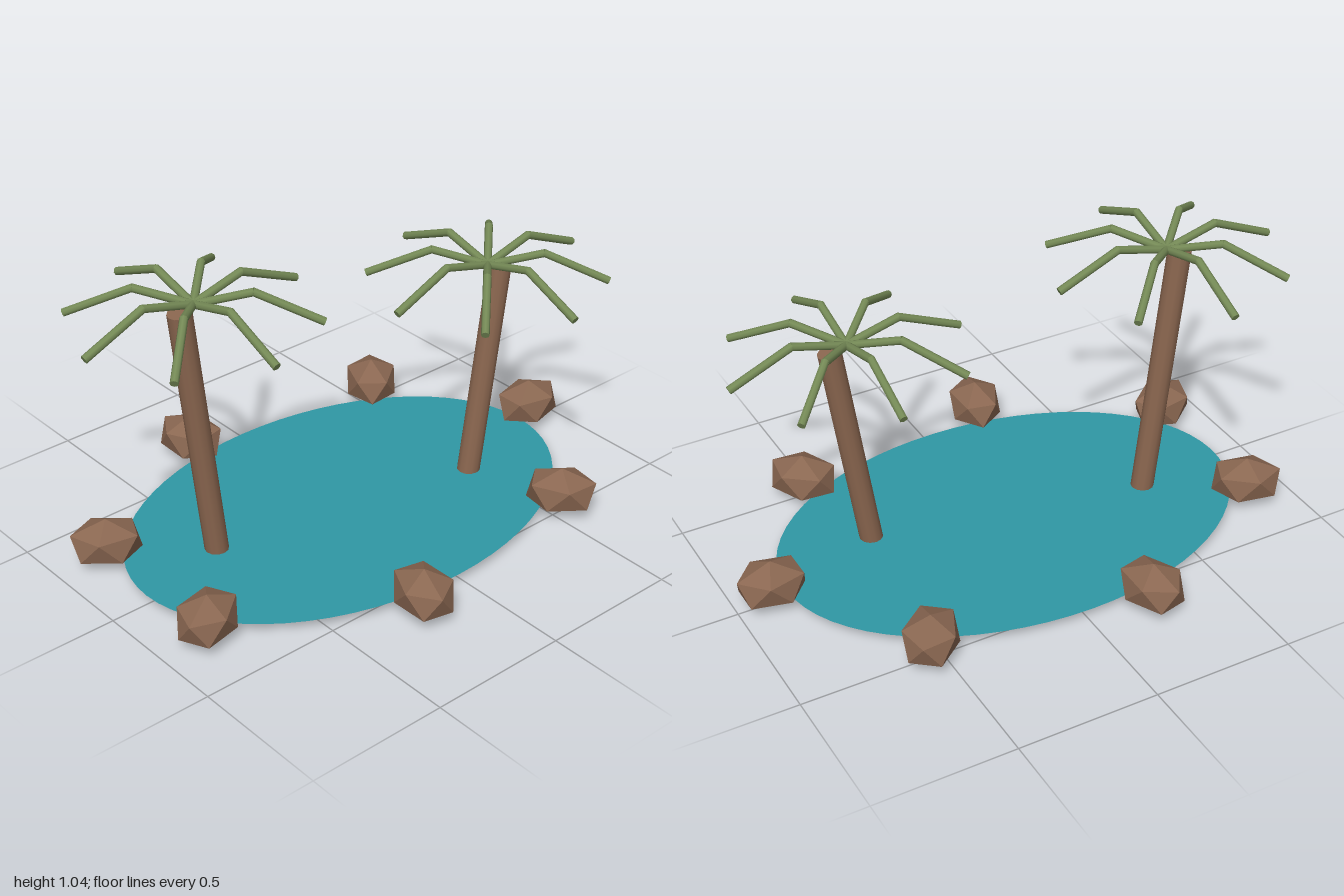
import * as THREE from 'three';

const mat = (name, color, extra = {}) => {
  const m = new THREE.MeshStandardMaterial({ color, ...extra });
  m.name = name;
  return m;
};

// Capped rod between two points
function rod(name, a, b, radius, sides, material) {
  const dir = new THREE.Vector3().subVectors(b, a);
  const mesh = new THREE.Mesh(
    new THREE.CylinderGeometry(radius, radius, dir.length(), sides), material);
  mesh.position.addVectors(a, b).multiplyScalar(0.5);
  mesh.quaternion.setFromUnitVectors(new THREE.Vector3(0, 1, 0), dir.normalize());
  mesh.name = name;
  return mesh;
}

export function createModel() {
  const water = mat('water teal', 0x2f98a5, { side: THREE.DoubleSide });
  const bark = mat('bark brown', 0x8a664f);
  const stone = mat('stone brown', 0x8a6751, { flatShading: true });
  const leaf = mat('leaf green', 0x758a56);
  const V = (x, y, z) => new THREE.Vector3(x, y, z);
  const model = new THREE.Group();
  model.name = 'oasis';
  const centreX = -0.02;

  // Flat oval pool
  const poolGeo = new THREE.CircleGeometry(1, 64);
  poolGeo.rotateX(-Math.PI / 2).scale(0.845, 1, 0.575);
  const pool = new THREE.Mesh(poolGeo, water);
  pool.name = 'pool';
  pool.position.set(centreX, 0.035, 0);
  model.add(pool);

  // Ring of seven rocks, point up, long axis pointing outwards
  const rockGeo = new THREE.IcosahedronGeometry(1, 0);
  rockGeo.rotateZ(-Math.atan(2 / (1 + Math.sqrt(5))));
  rockGeo.scale(0.134, 0.087, 0.103);
  rockGeo.computeVertexNormals();
  for (let i = 0; i < 7; i++) {
    const a = (i / 7) * Math.PI * 2;
    const rock = new THREE.Mesh(rockGeo, stone);
    rock.name = 'rock' + (i + 1);
    rock.position.set(centreX + Math.cos(a) * 0.895, 0.088, Math.sin(a) * 0.635);
    rock.rotation.y = -a;
    model.add(rock);
  }

  // Leaning palms, each with eight bent fronds
  function palm(name, base, top, crown) {
    const group = new THREE.Group();
    group.name = name;
    group.add(rod('trunk', base, top, 0.041, 12, bark));
    for (let i = 0; i < 8; i++) {
      const a = (i / 8) * Math.PI * 2;
      const at = (r, y) => V(crown.x + Math.cos(a) * r, crown.y + y, crown.z + Math.sin(a) * r);
      const frond = new THREE.Group();
      frond.name = 'frond' + (i + 1);
      frond.add(rod('frondInner', at(0, 0), at(0.192, 0.051), 0.014, 8, leaf));
      frond.add(rod('frondOuter', at(0.186, 0.052), at(0.411, -0.045), 0.014, 8, leaf));
      group.add(frond);
    }
    model.add(group);
  }
  palm('tallPalm', V(-0.528, 0.026, -0.065), V(-0.636, 0.967, -0.065), V(-0.582, 0.979, -0.065));
  palm('shortPalm', V(0.448, 0.026, 0.13), V(0.566, 0.815, 0.13), V(0.506, 0.828, 0.13));
  return model;
}
